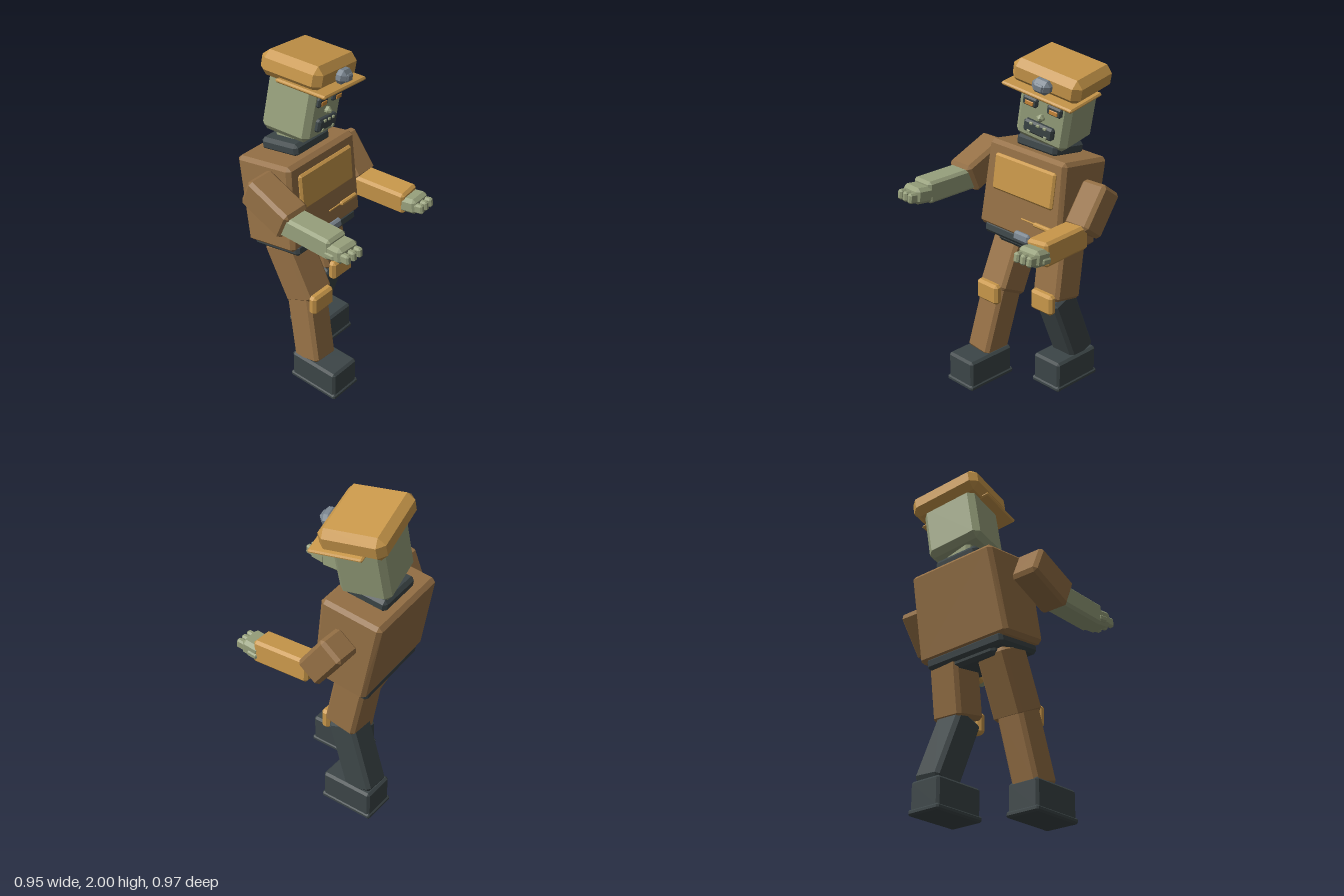
import * as THREE from 'three';
import { ConvexGeometry } from 'three/addons/geometries/ConvexGeometry.js';

const mat = (name, color) => {
  const m = new THREE.MeshStandardMaterial({ color });
  m.name = name;
  return m;
};

export function createModel() {
  const brown = mat('brown cloth', 0x957045);
  const gold = mat('gold', 0xc8974a);
  const skin = mat('sage skin', 0x97a07c);
  const dark = mat('charcoal', 0x3c4547);
  const steel = mat('steel', 0x7a858f);
  const amber = mat('amber', 0xcc8a3a);

  const root = new THREE.Group();
  root.name = 'figure';

  // Box with bevelled edges; top can be scaled in x and z for taper
  function bevelBox(w, h, d, c, topX = 1, topZ = 1) {
    const pts = [];
    for (const sx of [-1, 1]) for (const sy of [-1, 1]) for (const sz of [-1, 1]) {
      for (let k = 0; k < 3; k++) {
        const x = w / 2 - (k === 0 ? 0 : c);
        const y = h / 2 - (k === 1 ? 0 : c);
        const z = d / 2 - (k === 2 ? 0 : c);
        const kx = sy > 0 ? topX : 1, kz = sy > 0 ? topZ : 1;
        pts.push(new THREE.Vector3(sx * x * kx, sy * y, sz * z * kz));
      }
    }
    return new ConvexGeometry(pts);
  }

  function box(parent, name, material, size, pos, bevel = 0.015, taper = [1, 1]) {
    const m = new THREE.Mesh(bevelBox(...size, bevel, ...taper), material);
    m.name = name;
    m.position.set(...pos);
    parent.add(m);
    return m;
  }

  // Box running from point a to point b
  function limb(parent, name, material, w, d, a, b, bevel = 0.02) {
    const A = new THREE.Vector3(...a), B = new THREE.Vector3(...b);
    const dir = A.clone().sub(B);
    const m = box(parent, name, material, [w, dir.length(), d], [0, 0, 0], bevel);
    m.position.copy(A).add(B).multiplyScalar(0.5);
    m.quaternion.setFromUnitVectors(new THREE.Vector3(0, 1, 0), dir.normalize());
    return m;
  }

  function group(name, pos, rot) {
    const g = new THREE.Group();
    g.name = name;
    g.position.set(...pos);
    g.rotation.set(...rot, 'YXZ');
    root.add(g);
    return g;
  }

  // Torso, leaning back a little
  const torso = group('torso', [-0.015, 1.17, -0.235], [-0.15, 0.05, -0.04]);
  box(torso, 'jacket', brown, [0.615, 0.52, 0.34], [0, 0, 0], 0.022, [0.93, 1.13]);
  box(torso, 'collar', dark, [0.3, 0.075, 0.26], [0.005, 0.287, 0], 0.02);
  box(torso, 'chestPanel', gold, [0.455, 0.215, 0.035], [0.01, 0.085, 0.185], 0.012).rotation.x = 0.04;
  box(torso, 'pocketBar', gold, [0.145, 0.026, 0.03], [0.19, -0.14, 0.178], 0.008);
  box(torso, 'pocketSeam', gold, [0.11, 0.008, 0.009], [0.075, -0.138, 0.178], 0.002);
  box(torso, 'belt', dark, [0.53, 0.07, 0.33], [0, -0.27, 0], 0.018);
  box(torso, 'hips', dark, [0.38, 0.08, 0.27], [0, -0.3, -0.01], 0.02);
  box(torso, 'buckle', steel, [0.115, 0.055, 0.035], [0.045, -0.243, 0.178], 0.012);

  box(root, 'neck', skin, [0.18, 0.12, 0.18], [0.015, 1.5, -0.28], 0.02).rotation.z = -0.1;

  // Head, tilted and turned
  const head = group('head', [0.06, 1.69, -0.27], [0.08, 0.175, -0.2]);
  box(head, 'skull', skin, [0.34, 0.38, 0.3], [0, 0, 0], 0.032);
  for (const s of [-1, 1]) {
    box(head, 'eyeSocket', dark, [0.095, 0.056, 0.03], [s * 0.08, 0.05, 0.155], 0.01);
    box(head, 'eye', amber, [0.055, 0.026, 0.012], [s * 0.08, 0.044, 0.169], 0.003);
  }
  box(head, 'nose', skin, [0.045, 0.045, 0.05], [0, -0.022, 0.16], 0.017);
  box(head, 'mouth', dark, [0.195, 0.075, 0.04], [0, -0.092, 0.158], 0.012);
  for (const x of [-0.045, 0, 0.045])
    box(head, 'upperTooth', skin, [0.022, 0.016, 0.012], [x, -0.066, 0.178], 0.003);
  for (const x of [-0.055, 0.055])
    box(head, 'lowerTooth', skin, [0.022, 0.018, 0.012], [x, -0.118, 0.178], 0.003);

  // Cap with brim and lamp
  box(head, 'cap', gold, [0.445, 0.145, 0.38], [0, 0.2, 0], 0.04);
  box(head, 'brim', gold, [0.46, 0.022, 0.31], [0, 0.135, 0.09], 0.008);
  box(head, 'lamp', steel, [0.115, 0.08, 0.075], [0.01, 0.195, 0.21], 0.025);
  box(head, 'lampLens', steel, [0.06, 0.045, 0.02], [0.01, 0.195, 0.245], 0.008);

  // Legs: hip, knee, ankle and foot centre for each side
  const legs = [
    { side: 'right', hip: [-0.17, 0.9, -0.21], knee: [-0.16, 0.555, -0.045],
      shinTop: [-0.167, 0.6, -0.065], ankle: [-0.207, 0.16, 0.035],
      pad: [-0.168, 0.568, 0.048], foot: [-0.2, 0, 0.098], shin: brown },
    { side: 'left', hip: [0.133, 0.91, -0.25], knee: [0.15, 0.565, -0.187],
      shinTop: [0.143, 0.58, -0.18], ankle: [0.168, 0.16, -0.335],
      pad: [0.15, 0.568, -0.08], foot: [0.165, 0, -0.258], shin: dark },
  ];
  for (const l of legs) {
    limb(root, l.side + 'Thigh', brown, 0.205, 0.205, l.hip, l.knee);
    limb(root, l.side + 'Shin', l.shin, 0.175, 0.185, l.shinTop, l.ankle);
    box(root, l.side + 'KneePad', gold, [0.17, 0.125, 0.055], l.pad, 0.016);
    const [x, , z] = l.foot;
    box(root, l.side + 'Boot', dark, [0.205, 0.175, 0.33], [x, 0.1, z], 0.014);
    box(root, l.side + 'Sole', dark, [0.218, 0.034, 0.345], [x, 0.017, z], 0.01);
  }

  // Arms reaching forward; one forearm is bare
  const arms = [
    { side: 'right', shoulder: [-0.38, 1.35, -0.235], elbow: [-0.38, 1.23, 0.05], w: 0.178, d: 0.185,
      fore: [-0.382, 1.232, 0], wrist: [-0.383, 1.23, 0.36], mat: skin, fw: 0.145, fd: 0.13,
      hand: [-0.383, 1.225, 0.385], tilt: -0.1 },
    { side: 'left', shoulder: [0.38, 1.29, -0.3], elbow: [0.385, 1.065, -0.135], w: 0.17, d: 0.165,
      fore: [0.375, 1.055, -0.12], wrist: [0.4, 1.058, 0.235], mat: gold, fw: 0.145, fd: 0.14,
      hand: [0.403, 1.055, 0.255], tilt: -0.15 },
  ];
  for (const a of arms) {
    limb(root, a.side + 'UpperArm', brown, a.w, a.d, a.shoulder, a.elbow);
    limb(root, a.side + 'Forearm', a.mat, a.fw, a.fd, a.fore, a.wrist, 0.016);
    const hand = group(a.side + 'Hand', a.hand, [a.tilt, 0.05 * Math.sign(a.hand[0]), 0]);
    box(hand, 'palm', skin, [0.145, 0.095, 0.12], [0, 0, 0], 0.02);
    for (const x of [-0.044, 0, 0.044])
      box(hand, 'finger', skin, [0.036, 0.058, 0.085], [x, -0.008, 0.058], 0.01);
    box(hand, 'thumb', skin, [0.03, 0.04, 0.07], [Math.sign(a.hand[0]) * 0.065, -0.015, -0.02], 0.01);
  }

  return root;
}
